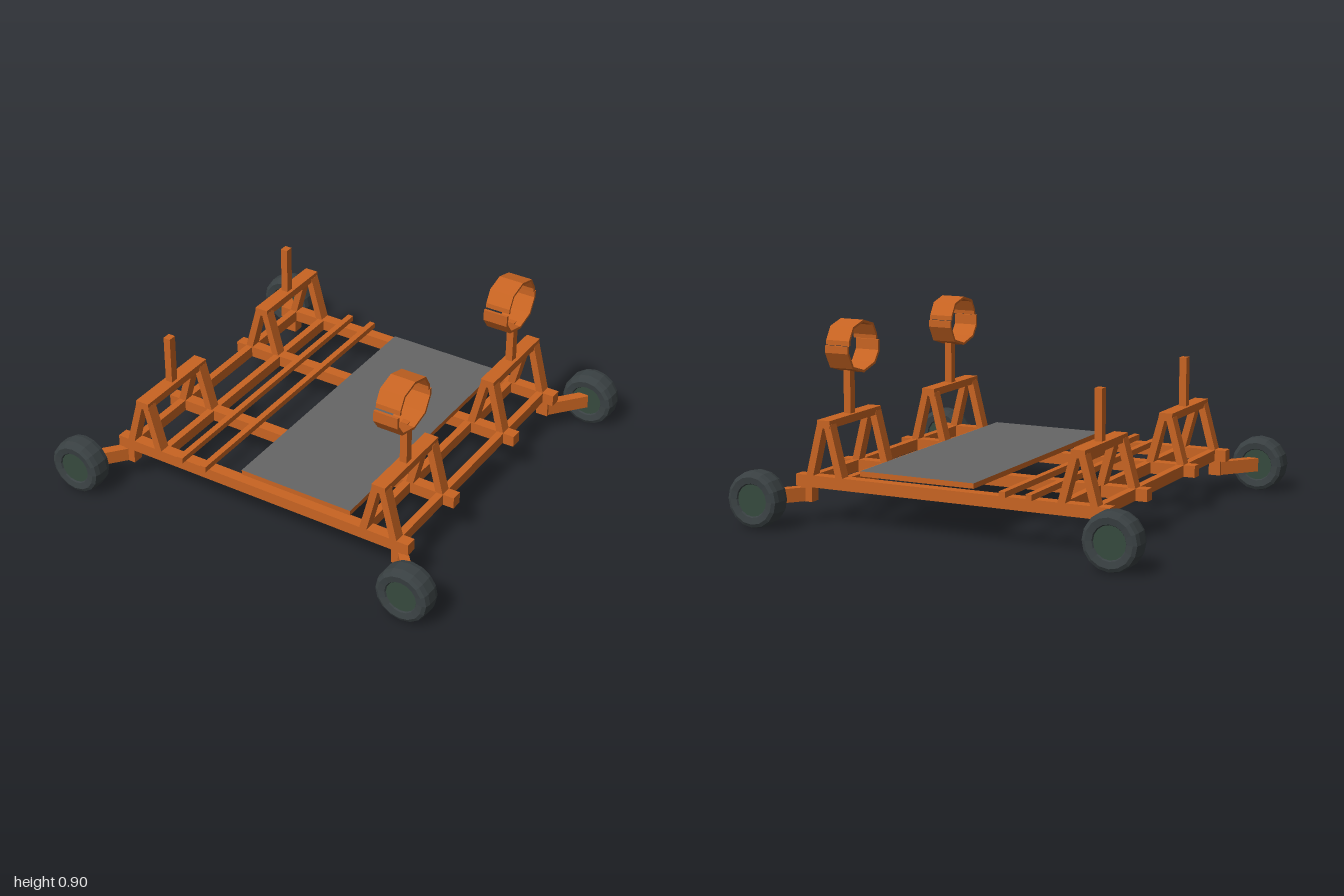
import * as THREE from 'three';

const material = (name, color) => {
  const m = new THREE.MeshStandardMaterial({ color });
  m.name = name;
  return m;
};

export function createModel() {
  const orange = material('orange frame', 0xc86422);
  const grey = material('grey deck', 0x666666);
  const rubber = material('dark rubber', 0x3a4143);
  const green = material('green hub', 0x364a3e);
  const model = new THREE.Group();
  model.name = 'wheeledFrame';

  const add = (name, geometry, mat, parent = model) => {
    const mesh = new THREE.Mesh(geometry, mat);
    mesh.name = name;
    parent.add(mesh);
    return mesh;
  };
  // box given by its minimum and maximum on each axis
  const box = (name, [x0, x1], [y0, y1], [z0, z1], mat = orange, parent = model) => {
    const mesh = add(name, new THREE.BoxGeometry(x1 - x0, y1 - y0, z1 - z0), mat, parent);
    mesh.position.set((x0 + x1) / 2, (y0 + y1) / 2, (z0 + z1) / 2);
    return mesh;
  };
  const around = (c, w) => [c - w / 2, c + w / 2];
  const polygon = (points) => new THREE.Shape(points.map(([x, y]) => new THREE.Vector2(x, y)));
  const faceted = (geometry) => {
    const flat = geometry.toNonIndexed();
    flat.computeVertexNormals();
    return flat;
  };

  // base: long rails, cross beams between them, thin strips on top
  const railZ = [-0.677, -0.28, 0.28, 0.677];
  for (const z of railZ) box('rail', [-0.775, 0.775], [0.165, 0.22], around(z, 0.055));
  for (const x of [-0.703, -0.538, 0.533, 0.703]) {
    for (let i = 0; i < 3; i++) {
      box('crossBeam', around(x, 0.035), [0.166, 0.219], [railZ[i] + 0.0275, railZ[i + 1] - 0.0275]);
    }
  }
  for (const x of [-0.409, -0.281]) box('strip', around(x, 0.029), [0.22, 0.247], [-0.73, 0.73]);

  // deck panel with orange edges
  box('deck', [-0.112, 0.46], [0.23, 0.254], [-0.667, 0.667],
    [orange, orange, grey, grey, orange, orange]);

  // trestles with leaning legs, a top beam and a post
  const trestle = (x, z, beamTop, postTop) => {
    const g = new THREE.Group();
    g.name = 'trestle';
    model.add(g);
    const legTop = beamTop - 0.018;
    for (const dz of [-0.1985, 0.1985]) {
      for (const s of [-1, 1]) {
        const geometry = new THREE.ExtrudeGeometry(polygon([
          [x + s * 0.058, 0.22], [x + s * 0.094, 0.22],
          [x + s * 0.034, legTop], [x, legTop],
        ]), { depth: 0.054, bevelEnabled: false });
        add('trestleLeg', geometry, orange, g).position.z = z + dz - 0.027;
      }
    }
    box('trestleBeam', around(x, 0.067), [beamTop - 0.036, beamTop], around(z, 0.452), orange, g);
    box('post', around(x, 0.035), [beamTop, postTop], around(z, 0.04), orange, g);
  };

  // ring holder: a wider lower shell and a narrower upper shell
  const lowerArc = [[0.141, 0.798], [0.141, 0.746], [0.102, 0.692], [0, 0.664],
    [-0.098, 0.692], [-0.14, 0.765], [-0.14, 0.798]];
  const upperArc = [[-0.128, 0.8], [-0.127, 0.822], [-0.09, 0.881], [0, 0.905],
    [0.088, 0.881], [0.12, 0.825], [0.122, 0.803]];
  const shell = (name, arc, z) => {
    const k = 0.905;
    const inner = arc.map(([a, y], i) =>
      [a * k, i === 0 || i === arc.length - 1 ? y : 0.785 + (y - 0.785) * k]).reverse();
    const geometry = new THREE.ExtrudeGeometry(polygon([...arc, ...inner]),
      { depth: 0.119, bevelEnabled: false });
    geometry.rotateY(-Math.PI / 2);
    add(name, geometry, orange).position.set(0.673, 0, z);
  };

  for (const s of [-1, 1]) {
    trestle(-0.626, s * 0.48, 0.455, 0.686);
    trestle(0.624, s * 0.48, 0.476, 0.682);
  }
  for (const z of [0.496, -0.464]) {
    shell('ringLower', lowerArc, z);
    shell('ringUpper', upperArc, z);
  }

  // wheels on diagonal arms at the four corners
  const tyre = faceted(new THREE.LatheGeometry([
    [0.072, -0.042], [0.078, -0.052], [0.108, -0.057], [0.124, -0.048], [0.13, -0.025],
    [0.13, 0.025], [0.124, 0.048], [0.108, 0.057], [0.078, 0.052], [0.072, 0.042],
  ].map(([r, h]) => new THREE.Vector2(r, h)), 16)).rotateX(Math.PI / 2);
  const hub = faceted(new THREE.CylinderGeometry(0.074, 0.074, 0.09, 16)).rotateX(Math.PI / 2);
  for (const sx of [-1, 1]) {
    for (const sz of [-1, 1]) {
      const wheel = new THREE.Group();
      wheel.name = 'wheel';
      wheel.position.set(sx * 0.869, 0.13, sz * 0.874);
      add('tyre', tyre, rubber, wheel);
      add('hub', hub, green, wheel);
      model.add(wheel);

      box('armMount', around(sx * 0.72, 0.058), [0.097, 0.165], around(sz * 0.677, 0.055));
      const from = [0.732, 0.677], to = [0.862, 0.836];
      const dx = to[0] - from[0], dz = to[1] - from[1];
      const arm = add('wheelArm', new THREE.BoxGeometry(0.045, 0.064, Math.hypot(dx, dz)), orange);
      arm.position.set(sx * (from[0] + to[0]) / 2, 0.13, sz * (from[1] + to[1]) / 2);
      arm.rotation.y = Math.atan2(sx * dx, sz * dz);
    }
  }
  return model;
}
